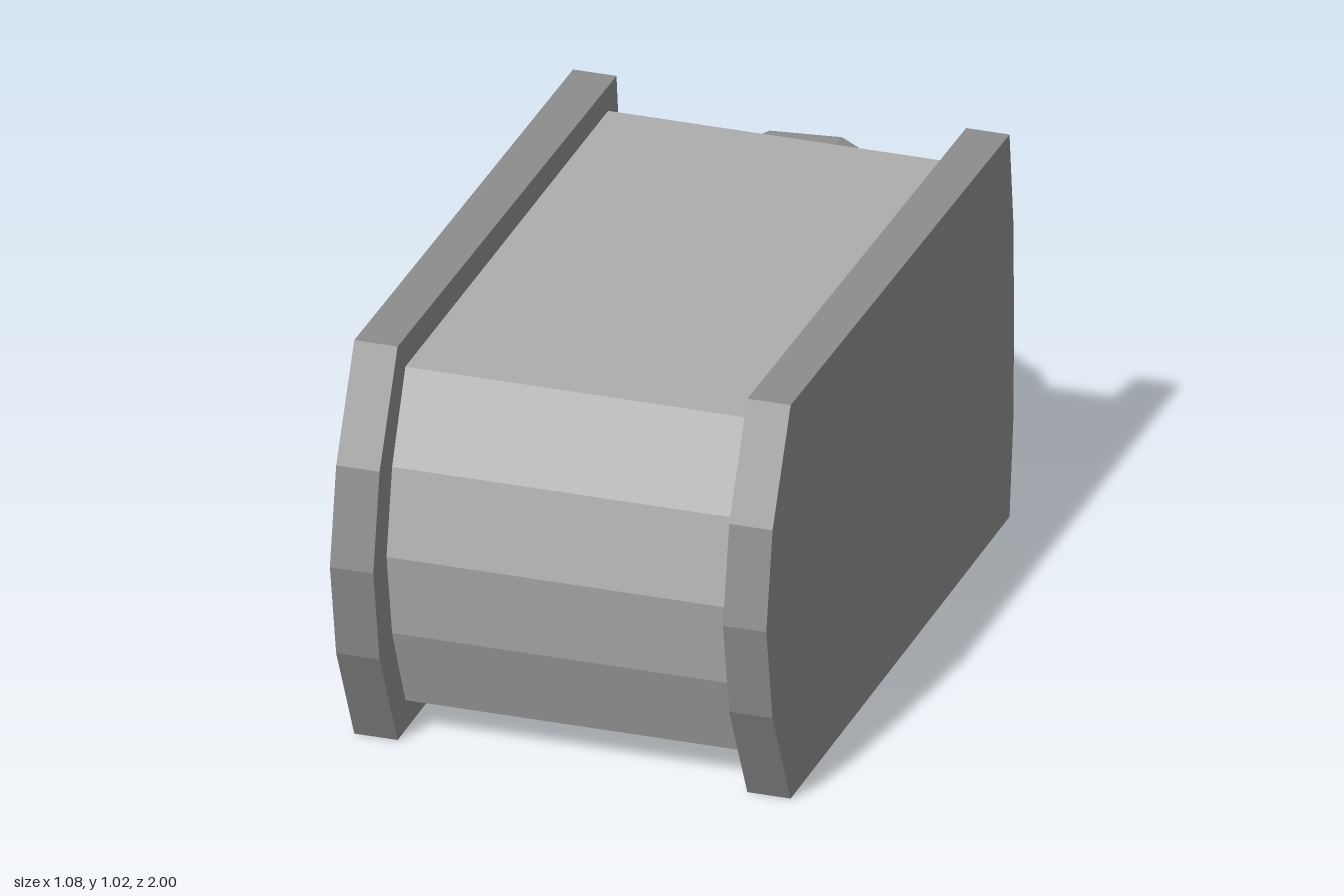
import * as THREE from 'three';

const paint = (color) => new THREE.MeshStandardMaterial({ color, flatShading: true });
const lightGrey = paint(0xadadad);
const darkGrey = paint(0x8d8d8d);
const black = paint(0x0a0a0a);
const MID = 0.51; // height of the central axis

function part(name, geometry, material) {
  const mesh = new THREE.Mesh(geometry, material);
  mesh.name = name;
  return mesh;
}

// Extrudes a side profile of [z, y] points across x, centred on x = 0
function sideExtrude(points, width) {
  const shape = new THREE.Shape(points.map(([z, y]) => new THREE.Vector2(z, y)));
  const geometry = new THREE.ExtrudeGeometry(shape, { depth: width, bevelEnabled: false });
  return geometry.translate(0, 0, -width / 2).rotateY(-Math.PI / 2);
}

// Hollow ring along z, with a rectangular wall section
function ring(inner, outer, zBack, zFront, sides, turn) {
  const section = [[inner, zBack], [outer, zBack], [outer, zFront], [inner, zFront], [inner, zBack]]
    .map(([r, z]) => new THREE.Vector2(r, z));
  return new THREE.LatheGeometry(section, sides, turn)
    .rotateX(Math.PI / 2).translate(0, MID, 0);
}

export function createModel() {
  const model = new THREE.Group();

  // Main body with a faceted, rounded front
  model.add(part('body', sideExtrude([
    [-0.685, 0.078], [0.77, 0.078], [0.865, 0.295], [0.905, MID],
    [0.865, 0.725], [0.77, 0.941], [-0.685, 0.941],
  ], 0.862), lightGrey));

  // Bevelled rear panel: a thin box narrowed toward the back
  const panel = new THREE.BoxGeometry(0.862, 0.862, 0.03);
  const pos = panel.attributes.position;
  for (let i = 0; i < pos.count; i++) {
    if (pos.getZ(i) < 0) pos.setXY(i, pos.getX(i) * 0.91, pos.getY(i) * 0.91);
  }
  panel.computeVertexNormals();
  model.add(part('rearPanel', panel.translate(0, MID, -0.7), lightGrey));

  // Side plates that overhang the body all round
  const plateProfile = [
    [-0.745, 0.015], [0.825, 0], [0.955, 0.267], [1, MID], [0.955, 0.753],
    [0.825, 1.018], [-0.745, 1.004], [-0.772, 0.77], [-0.778, MID], [-0.772, 0.25],
  ];
  for (const side of [-1, 1]) {
    const name = side > 0 ? 'leftPlate' : 'rightPlate';
    const plate = part(name, sideExtrude(plateProfile, 0.107), darkGrey);
    plate.position.x = side * 0.4845;
    model.add(plate);
  }

  // Rear tube and the collar around it, turned slightly
  const collarTurn = THREE.MathUtils.degToRad(18.5);
  model.add(part('rearTube', ring(0.21, 0.267, -1, -0.712, 16, 0), black));
  model.add(part('collar', ring(0.26, 0.347, -0.907, -0.805, 12, collarTurn), darkGrey));

  return model;
}
